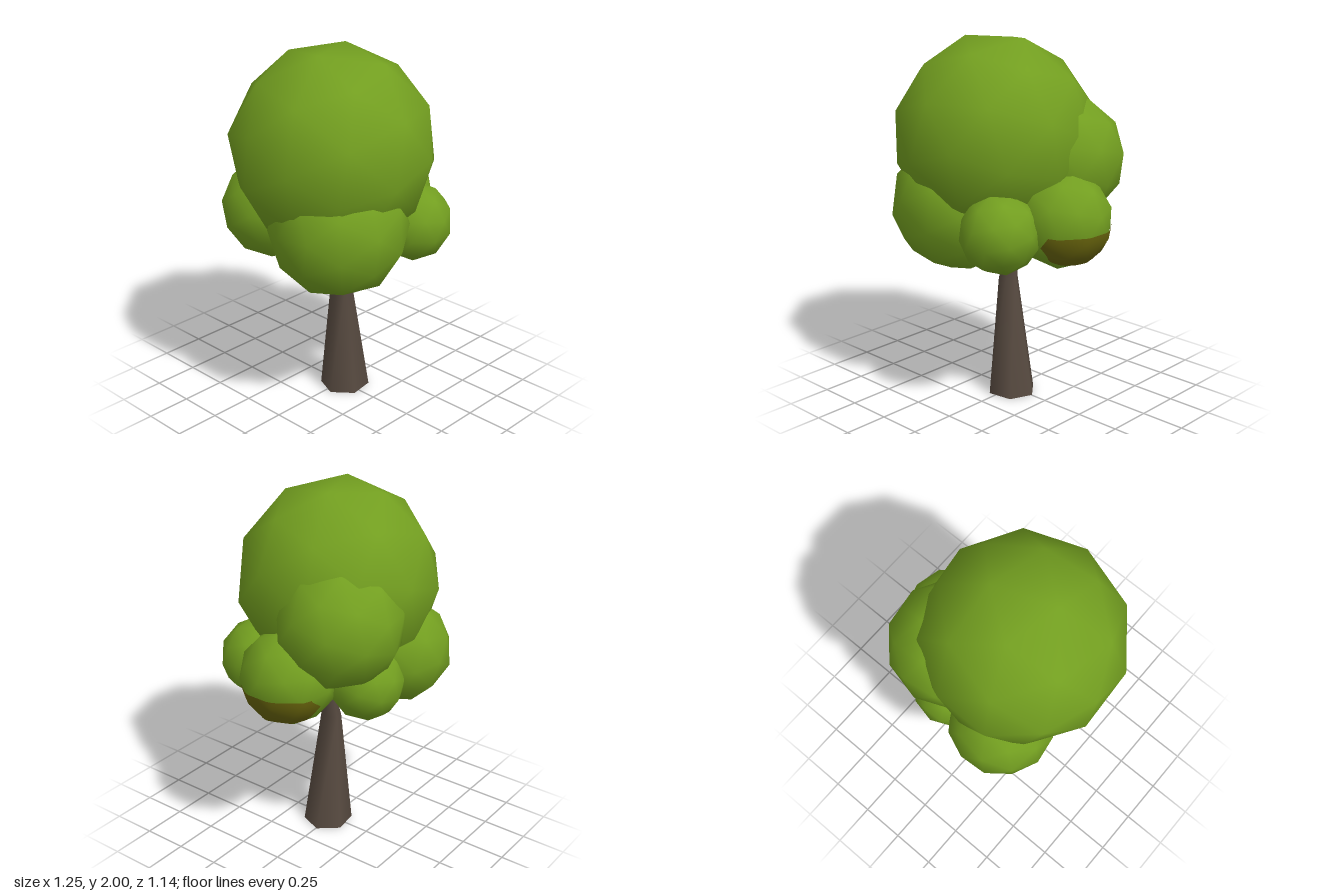
import * as THREE from 'three';
import { mergeVertices } from 'three/addons/utils/BufferGeometryUtils.js';

const leafGreen = new THREE.MeshStandardMaterial({ name: 'leafGreen', color: 0x739f20 });
const barkBrown = new THREE.MeshStandardMaterial({ name: 'barkBrown', color: 0x574a40, side: THREE.DoubleSide });
const olivePatch = new THREE.MeshStandardMaterial({ name: 'olivePatch', color: 0x68640c });

// Leaf clumps: name, centre, radius, rotation
const CLUMPS = [
  ['crownClump', [-0.1, 1.474, 0.03], 0.553, [0.554, 0.35, 0]],
  ['frontLowerClump', [-0.22, 1.1, 0.19], 0.373, [0.5, 0.9, 0.2]],
  ['frontSmallClump', [0.217, 1.045, 0.325], 0.217, [0.2, 0.4, 0.7]],
  ['sideClump', [0.365, 1.085, 0], 0.265, [0.1, 0.6, 0.3]],
  ['backUpperClump', [0.185, 1.36, -0.195], 0.343, [0.8, 0.1, 0.4]],
  ['backLowerClump', [-0.23, 1.095, -0.29], 0.288, [0.4, 0.3, 0.9]],
  ['backSmallClump', [0.11, 1.035, -0.31], 0.205, [0.7, 0.5, 0.1]],
];

function clumpGeometry(center, radius, rotation) {
  const g = new THREE.IcosahedronGeometry(radius, 1);
  g.applyMatrix4(new THREE.Matrix4().makeRotationFromEuler(new THREE.Euler(...rotation, 'YXZ')));
  return g.translate(...center);
}

// Trunk: six-sided rings that taper and bend, open at the bottom
function trunkGeometry() {
  // Each ring: height, centre x, centre z, radius in x, radius in z
  const rings = [[0, 0.01, 0.017, 0.141, 0.136], [0.68, -0.018, 0.015, 0.049, 0.06],
    [0.85, 0.023, 0.014, 0.027, 0.047], [0.95, 0.042, 0.012, 0.015, 0.03]];
  const g = new THREE.CylinderGeometry(1, 1, 3, 6, 3, true);
  g.rotateY(Math.PI / 2 + 0.15);
  const p = g.attributes.position;
  for (let i = 0; i < p.count; i++) {
    const [y, x, z, rx, rz] = rings[Math.round(p.getY(i) + 1.5)];
    p.setXYZ(i, x + p.getX(i) * rx, y, z + p.getZ(i) * rz);
  }
  g.deleteAttribute('uv');
  g.deleteAttribute('normal');
  const welded = mergeVertices(g);
  welded.computeVertexNormals();
  return welded;
}

// Thin patch draped over the +x side of a faceted clump
function patchGeometry(clump, center) {
  const c = new THREE.Vector3(...center);
  const p = clump.attributes.position;
  const planes = [];
  for (let i = 0; i < p.count; i += 3) {
    const [a, b, d] = [0, 1, 2].map((k) => new THREE.Vector3().fromBufferAttribute(p, i + k));
    const plane = new THREE.Plane().setFromCoplanarPoints(a, b, d);
    if (plane.normal.x > 0.01) planes.push(plane);
  }
  const g = new THREE.PlaneGeometry(2, 1, 28, 14);
  const q = g.attributes.position;
  const v = new THREE.Vector3();
  for (let i = 0; i < q.count; i++) {
    const u = q.getX(i);
    const depth = 0.06 + 0.115 * (1 - u ** 4);
    const y = 1.05 - (0.5 - q.getY(i)) * depth;
    const z = -0.228 * u;
    const x = Math.min(...planes.map(({ normal: n, constant: k }) => -(k + n.y * y + n.z * z) / n.x));
    v.set(x, y, z).sub(c).normalize();
    g.attributes.normal.setXYZ(i, v.x, v.y, v.z);
    q.setXYZ(i, x + v.x * 0.005, y + v.y * 0.005, z + v.z * 0.005);
  }
  return g;
}

export function createModel() {
  const tree = new THREE.Group();
  tree.name = 'tree';
  const add = (name, geometry, material) => {
    const mesh = new THREE.Mesh(geometry, material);
    mesh.name = name;
    tree.add(mesh);
  };

  add('trunk', trunkGeometry(), barkBrown);
  for (const [name, center, radius, rotation] of CLUMPS) {
    const g = clumpGeometry(center, radius, rotation);
    add(name, g, leafGreen);
    if (name === 'sideClump') add('sidePatch', patchGeometry(g, center), olivePatch);
  }
  return tree;
}
